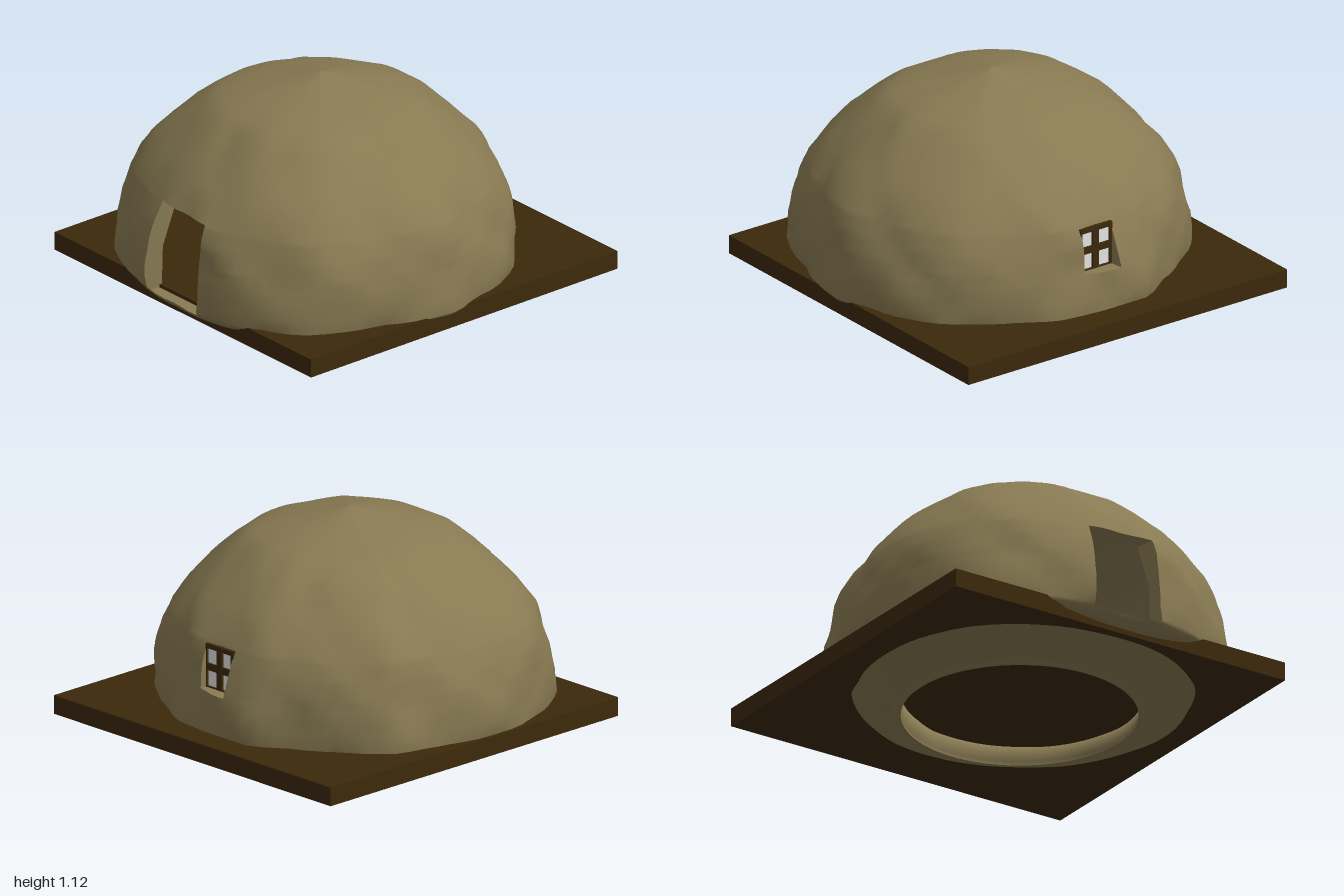
import * as THREE from 'three';

const clay = new THREE.MeshStandardMaterial({ color: 0x887a52, side: THREE.DoubleSide });
clay.name = 'clay';
const wood = new THREE.MeshStandardMaterial({ color: 0x3b290b });
wood.name = 'dark wood';
const glass = new THREE.MeshStandardMaterial({ color: 0xe4e4e4 });
glass.name = 'pale glass';

const TAU = Math.PI * 2;
const { lerp, smoothstep } = THREE.MathUtils;

// [height, radius] of the outer and the inner skin
const OUTER = [[0, 0.59], [0.02, 0.615], [0.09, 0.82], [0.14, 0.91], [0.18, 0.945], [0.32, 0.943], [0.45, 0.92],
  [0.54, 0.895], [0.62, 0.86], [0.72, 0.79], [0.8, 0.715], [0.9, 0.608], [0.97, 0.52], [1.0, 0.465], [1.035, 0.35],
  [1.06, 0.24], [1.12, 0]];
const INNER = [[0, 0.57], [0.09, 0.58], [0.14, 0.8], [0.18, 0.86], [0.38, 0.855], [0.62, 0.775], [0.8, 0.64],
  [0.9, 0.53], [1.0, 0.39], [1.06, 0.2], [1.12, 0]];
// [degrees from +x towards +z, radius] of the irregular plan outline
const PLAN = [[0, 0.93], [15, 0.93], [30, 0.923], [48, 0.948], [74, 0.937], [88, 0.96], [111, 0.937], [131, 0.988],
  [146, 0.97], [159, 0.97], [180, 0.93], [194, 0.95], [206, 0.955], [231, 0.996], [252, 0.975], [274, 0.952],
  [293, 0.927], [300, 0.968], [317, 0.94], [333, 0.92], [346, 0.952], [360, 0.93]];

function lookup(table, key) {
  for (let i = 1; i < table.length; i++) {
    const [k0, v0] = table[i - 1], [k1, v1] = table[i];
    if (key <= k1) return v0 + (v1 - v0) * (key - k0) / (k1 - k0);
  }
  return 0;
}

// The plan is rounder at the foot, and the crown is flattened on one side
function planScale(a, y) {
  const scale = lookup(PLAN, (a / TAU + 1) % 1 * 360) / 0.95;
  const dip = 0.12 * smoothstep(y, 0.9, 1.04) * Math.max(0, Math.cos(a + Math.PI / 4)) ** 2;
  return lerp(1, scale, smoothstep(y, 0, 0.18)) - dip;
}

// Hand-moulded unevenness
function bump(a, y) {
  return 0.007 * Math.sin(5 * a + 9 * y) + 0.007 * Math.sin(9 * a - 13 * y + 1)
    + 0.006 * Math.sin(14 * a + 2) * Math.sin(19 * y) + 0.004 * Math.sin(21 * a - 27 * y);
}

// Point around the dome axis, which leans a little at the foot
function polar(a, r, y, drop = 0) {
  const cx = -0.035 - 0.035 * smoothstep(y, 0, 0.12);
  return new THREE.Vector3(cx + r * Math.cos(a), y - drop, r * Math.sin(a));
}

function outerPoint(a, y) {
  const fade = y < 0.15 ? 0.2 : 1;
  return polar(a, lookup(OUTER, y) * (planScale(a, y) + fade * bump(a, y)), y);
}

function innerPoint(a, y) {
  return polar(a, lookup(INNER, y) * planScale(a, y), y, 0.07 * smoothstep(y, 0.7, 1.1));
}

// Skin through rows of points, leaving out cells for which skip(row, column) holds
function skin(rows, { wrap = false, flip = false, skip = () => false } = {}) {
  const n = rows[0].length, index = [];
  for (let r = 0; r < rows.length - 1; r++) {
    for (let c = 0; c < (wrap ? n : n - 1); c++) {
      if (skip(r, c)) continue;
      const d = (c + 1) % n;
      const p = r * n + c, q = r * n + d, s = p + n, t = q + n;
      index.push(...(flip ? [p, q, s, q, t, s] : [p, s, q, q, s, t]));
    }
  }
  const g = new THREE.BufferGeometry().setFromPoints(rows.flat());
  g.setIndex(index);
  g.computeVertexNormals();
  return g;
}

function span(a, b, n) {
  return Array.from({ length: n }, (_, i) => a + (b - a) * i / n);
}

function add(parent, name, geometry, material, x = 0, y = 0, z = 0) {
  const mesh = new THREE.Mesh(geometry, material);
  mesh.name = name;
  mesh.position.set(x, y, z);
  parent.add(mesh);
}

export function createModel() {
  const model = new THREE.Group();
  model.name = 'clayHut';

  // Ground slab
  add(model, 'baseSlab', new THREE.BoxGeometry(1.92, 0.094, 1.905), wood, 0.04, 0.135, -0.0165);

  // Grid lines run exactly along the edges of the window and the doorway
  const winA = [-0.09, 0.12], doorA = [Math.PI - 0.184, Math.PI + 0.22];
  const cols = [
    ...span(winA[0], winA[1], 4), ...span(winA[1], doorA[0], 36),
    ...span(doorA[0], doorA[1], 6), ...span(doorA[1], TAU + winA[0], 36),
  ];
  const heights = [0, 0.02, 0.09, 0.14, 0.165, 0.18, 0.25, 0.32, 0.38, 0.42, 0.45, 0.5, 0.54, 0.595, 0.62, 0.67,
    0.72, 0.76, 0.8, 0.85, 0.9, 0.94, 0.97, 1.0, 1.035, 1.06, 1.09, 1.12];
  const row = h => heights.indexOf(h);
  const holes = [
    { name: 'windowReveal', c0: 0, c1: 4, r0: row(0.38), r1: row(0.595) },
    { name: 'doorReveal', c0: 40, c1: 46, r0: row(0.165), r1: row(0.62) },
  ];
  const skip = (r, c) => holes.some(h => c >= h.c0 && c < h.c1 && r >= h.r0 && r < h.r1);

  // Dome walls
  const outer = heights.map(y => cols.map(a => outerPoint(a, y)));
  const inner = heights.map(y => cols.map(a => innerPoint(a, y)));
  const dome = new THREE.Group();
  dome.name = 'dome';
  model.add(dome);
  add(dome, 'outerWall', skin(outer, { wrap: true, skip }), clay);
  add(dome, 'innerWall', skin(inner, { wrap: true, flip: true, skip }), clay);
  add(dome, 'bottomRim', skin([inner[0], outer[0]], { wrap: true }), clay);

  // Wall thickness around each opening
  for (const { name, c0, c1, r0, r1 } of holes) {
    const across = (grid, r) => grid[r].slice(c0, c1 + 1);
    const upright = (grid, c) => grid.slice(r0, r1 + 1).map(line => line[c]);
    add(dome, name + 'Bottom', skin([across(outer, r0), across(inner, r0)]), clay);
    add(dome, name + 'Top', skin([across(inner, r1), across(outer, r1)]), clay);
    add(dome, name + 'SideA', skin([upright(inner, c0), upright(outer, c0)]), clay);
    add(dome, name + 'SideB', skin([upright(outer, c1), upright(inner, c1)]), clay);
  }

  // Window: frame with a crossbar over a thin pane
  const win = new THREE.Group();
  win.name = 'window';
  win.position.set(0.775, 0.49, 0.014);
  model.add(win);
  for (const [z, width] of [[-0.087, 0.016], [0.002, 0.037], [0.089, 0.01]]) {
    add(win, 'windowUpright', new THREE.BoxGeometry(0.03, 0.22, width), wood, 0, 0, z);
  }
  for (const [y, height] of [[-0.108, 0.008], [-0.006, 0.036], [0.098, 0.024]]) {
    add(win, 'windowRail', new THREE.BoxGeometry(0.028, height, 0.186), wood, 0, y, 0);
  }
  add(win, 'windowPane', new THREE.BoxGeometry(0.008, 0.21, 0.18), glass);

  return model;
}
